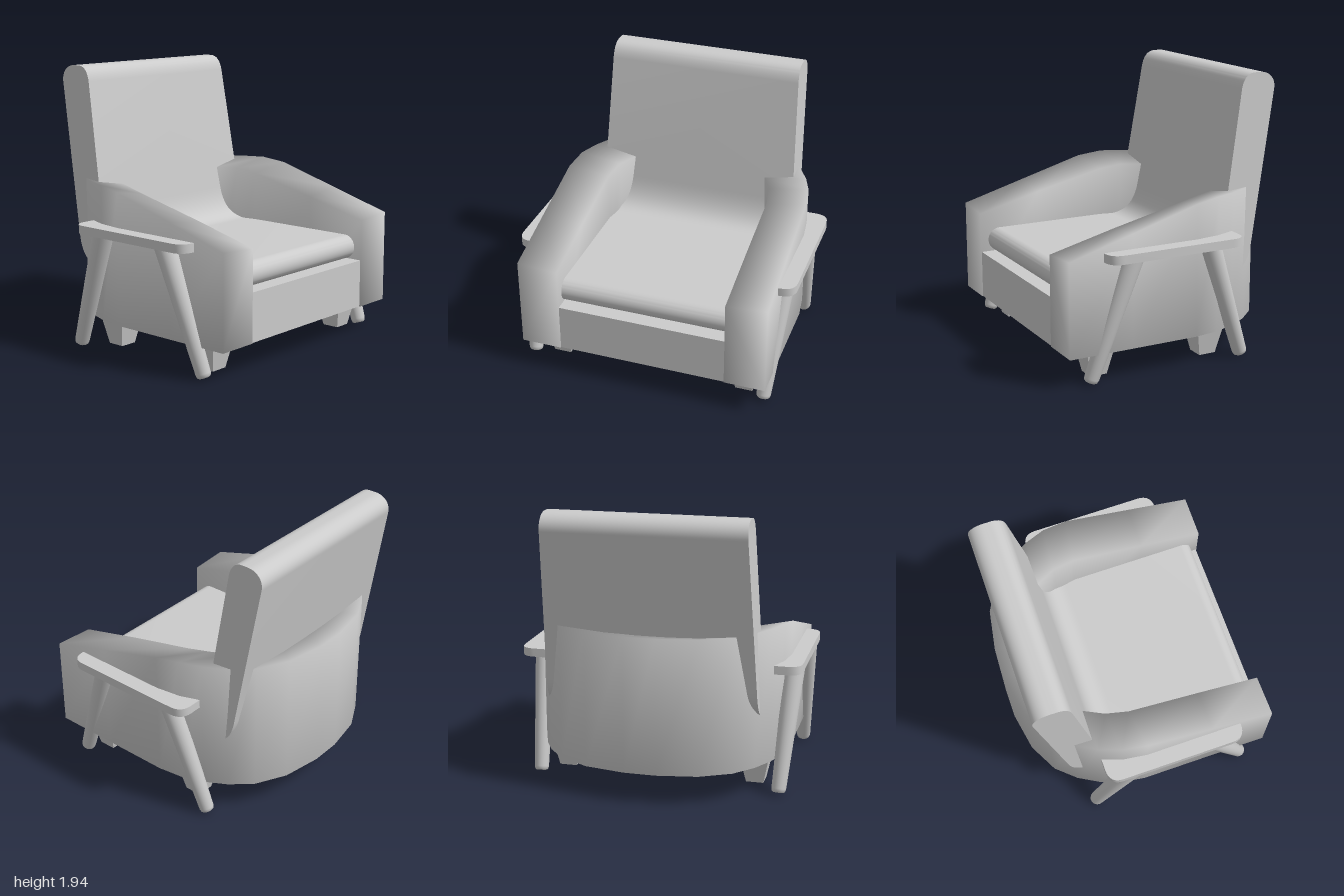
import * as THREE from 'three';
import { toCreasedNormals } from 'three/addons/utils/BufferGeometryUtils.js';

const material = new THREE.MeshStandardMaterial({ color: 0xcccccc });

// plan outlines [x, z] of the left half of the shell, front to back
const OUTER = [[0.89, 0.86], [0.89, 0.4], [0.89, -0.08], [0.865, -0.26], [0.81, -0.41],
  [0.725, -0.56], [0.6, -0.7], [0.39, -0.81], [0.11, -0.86]];
const INNER = [[0.6, 0.86], [0.6, 0.4], [0.6, -0.12], [0.57, -0.28], [0.5, -0.42],
  [0.42, -0.5], [0.33, -0.54], [0.2, -0.57], [0.06, -0.58]];
const mirrored = (pts) => [...pts, ...pts.map(([x, z]) => [-x, z]).reverse()];

function add(parent, name, geometry) {
  const mesh = new THREE.Mesh(geometry, material);
  mesh.name = name;
  parent.add(mesh);
  return mesh;
}

// height of the shell's outer rim at depth z
function rim(z) {
  if (z > -0.08) return 0.86 + (0.27 * (0.86 - z)) / 0.94;
  return Math.min(1.155, 1.13 + (0.025 * (-0.08 - z)) / 0.18);
}

// U-shaped band forming both arms and the back, softly shaded
function shellGeometry() {
  const outer = mirrored(OUTER), inner = mirrored(INNER);
  const position = [], index = [];
  outer.forEach(([ox, oz], i) => {
    const [ix, iz] = inner[i];
    const top = rim(oz);
    const drop = 0.02 + 0.035 * Math.min(1, (0.86 - oz) / 0.94);
    position.push(ox, 0.21, oz, ox, top, oz, ix, top - drop, iz, ix, 0.21, iz);
    if (i === 0) return;
    for (let k = 0; k < 4; k++) {
      const a = (i - 1) * 4 + k, b = i * 4 + k;
      const a1 = (i - 1) * 4 + (k + 1) % 4, b1 = i * 4 + (k + 1) % 4;
      index.push(a, b, b1, a, b1, a1);
    }
  });
  const e = (outer.length - 1) * 4;
  index.push(0, 1, 2, 0, 2, 3, e, e + 2, e + 1, e, e + 3, e + 2);
  const g = new THREE.BufferGeometry();
  g.setAttribute('position', new THREE.Float32BufferAttribute(position, 3));
  g.setIndex(index);
  g.computeVertexNormals();
  return g;
}

// seat and backrest as one bent cushion, narrowing towards the top
function cushionGeometry() {
  const s = new THREE.Shape();
  s.moveTo(0.715, 0.55);
  s.absarc(0.715, 0.635, 0.085, -Math.PI / 2, Math.PI / 2, false);
  s.lineTo(-0.2, 0.72);
  s.quadraticCurveTo(-0.36, 0.72, -0.397, 0.95);
  s.lineTo(-0.54, 1.83);
  s.bezierCurveTo(-0.555, 1.9, -0.59, 1.935, -0.645, 1.935);
  s.lineTo(-0.69, 1.935);
  s.bezierCurveTo(-0.765, 1.935, -0.815, 1.88, -0.8, 1.81);
  s.lineTo(-0.62, 0.78);
  s.quadraticCurveTo(-0.59, 0.55, -0.42, 0.55);
  s.closePath();
  const g = new THREE.ExtrudeGeometry(s, { depth: 2, bevelEnabled: false, curveSegments: 14 });
  g.translate(0, 0, -1);
  g.rotateY(-Math.PI / 2);
  const p = g.attributes.position;
  for (let i = 0; i < p.count; i++) {
    p.setX(i, p.getX(i) * (0.691 + 0.037 * (1.935 - p.getY(i))) - 0.008);
  }
  return toCreasedNormals(g, 0.5);
}

// flat plan shape [x, z] raised between two heights
function slab(shape, y0, y1) {
  const g = new THREE.ExtrudeGeometry(shape, { depth: y1 - y0, bevelEnabled: false, curveSegments: 8 });
  g.rotateX(-Math.PI / 2);
  g.translate(0, y0, 0);
  return toCreasedNormals(g, 0.5);
}

// armrest plate with rounded outer corners (shape y is -z)
function plateGeometry(side) {
  const s = new THREE.Shape();
  const x = 1, f = -0.615, b = 0.395, r = 0.1;
  s.moveTo(0.72 * side, f);
  s.lineTo((x - r) * side, f);
  s.quadraticCurveTo(x * side, f, x * side, f + r);
  s.lineTo(x * side, b - r);
  s.quadraticCurveTo(x * side, b, (x - r) * side, b);
  s.lineTo(0.72 * side, b);
  return slab(s, 0.83, 0.89);
}

// tapered round leg with a softened foot, from bottom to top point
function roundLeg(parent, name, bottom, top) {
  const dir = top.clone().sub(bottom);
  const h = dir.length();
  const profile = [[0, 0], [0.036, 0], [0.046, 0.008], [0.051, 0.028], [0.073, h], [0, h]]
    .map(([r, y]) => new THREE.Vector2(r, y));
  const leg = add(parent, name, toCreasedNormals(new THREE.LatheGeometry(profile, 24), 0.7));
  leg.position.copy(bottom);
  leg.quaternion.setFromUnitVectors(new THREE.Vector3(0, 1, 0), dir.normalize());
}

export function createModel() {
  const chair = new THREE.Group();
  chair.name = 'armchair';

  add(chair, 'shell', shellGeometry());
  add(chair, 'cushion', cushionGeometry());

  // base filling the inside of the shell
  const floor = new THREE.Shape(mirrored(INNER).map(([x, z]) => new THREE.Vector2(x, -Math.min(z, 0.855))));
  add(chair, 'base', slab(floor, 0.212, 0.55));

  for (const side of [1, -1]) {
    const word = side > 0 ? 'left' : 'right';
    const shift = side > 0 ? 0 : -0.04;
    add(chair, word + 'Armrest', plateGeometry(side));

    // splayed legs under the armrest
    for (const [end, zLow, zHigh] of [['Front', 0.69, 0.395], ['Back', -0.47, -0.18]]) {
      roundLeg(chair, word + end + 'Leg',
        new THREE.Vector3(0.837 * side + shift, 0.012, zLow),
        new THREE.Vector3(0.886 * side + shift, 0.845, zHigh));
    }

    // tapered block feet under the shell
    for (const [end, z] of [['Front', 0.585], ['Back', -0.26]]) {
      const g = new THREE.CylinderGeometry(0.105 * Math.SQRT2, 0.062 * Math.SQRT2, 0.21, 4).toNonIndexed();
      g.rotateY(Math.PI / 4);
      g.computeVertexNormals();
      add(chair, word + end + 'Foot', g).position.set(0.685 * side, 0.115, z);
    }
  }
  return chair;
}
